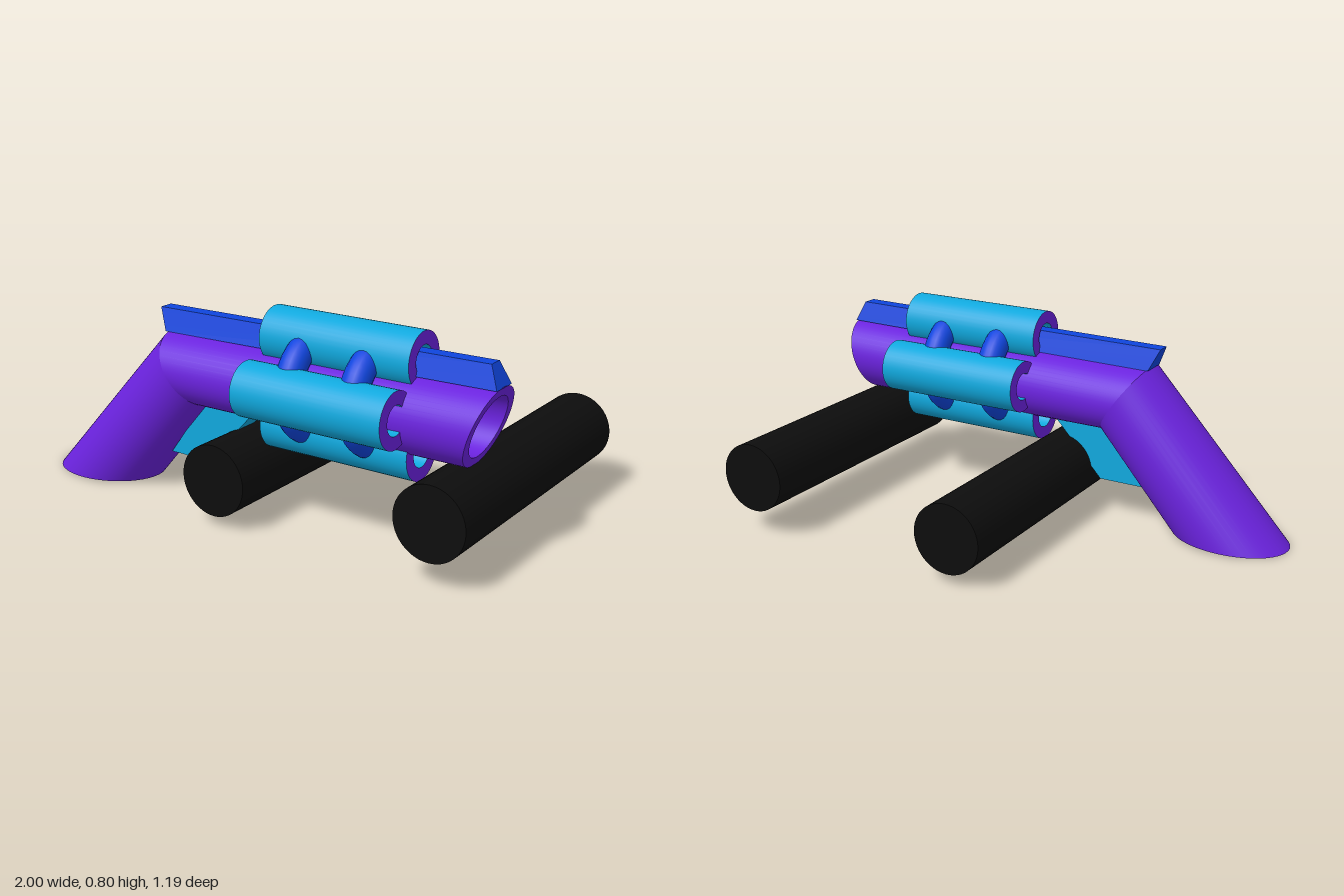
import * as THREE from 'three';

const AXIS_Z = 0.312;
const SEGMENTS = 48;

function material(name, color, side = THREE.FrontSide) {
  const m = new THREE.MeshStandardMaterial({ color, side });
  m.name = name;
  return m;
}

// Elliptical ring described by its upper and lower points in the xy plane and its half width in z
function ring(top, bottom, halfWidth) {
  const cx = (top[0] + bottom[0]) / 2, cy = (top[1] + bottom[1]) / 2;
  return (t) => [
    cx + (top[0] - cx) * Math.cos(t),
    cy + (top[1] - cy) * Math.cos(t),
    AXIS_Z + halfWidth * Math.sin(t),
  ];
}

// Smooth skin between two rings
function loft(a, b) {
  const positions = [], index = [];
  for (let i = 0; i < SEGMENTS; i++) {
    const t = (i / SEGMENTS) * Math.PI * 2;
    positions.push(...a(t), ...b(t));
    const p = i * 2, q = ((i + 1) % SEGMENTS) * 2;
    index.push(p, q, q + 1, p, q + 1, p + 1);
  }
  const g = new THREE.BufferGeometry();
  g.setAttribute('position', new THREE.Float32BufferAttribute(positions, 3));
  g.setIndex(index);
  g.computeVertexNormals();
  return g;
}

// Flat sided block: corners in the xy plane, half widths in z at its top and bottom
function block(c, topHalf, bottomHalf) {
  const g = new THREE.BoxGeometry(1, 1, 1);
  const p = g.attributes.position;
  for (let i = 0; i < p.count; i++) {
    const up = p.getY(i) > 0, front = p.getX(i) > 0;
    const [x, y] = up ? (front ? c.topFront : c.topBack) : (front ? c.bottomFront : c.bottomBack);
    p.setXYZ(i, x, y, AXIS_Z + Math.sign(p.getZ(i)) * (up ? topHalf : bottomHalf));
  }
  g.computeVertexNormals();
  return g;
}

export function createModel() {
  const purple = material('purple', 0x6a22dd);
  const teal = material('cyan', 0x10a8dd, THREE.DoubleSide);
  const blue = material('blue', 0x0f45dd);
  const black = material('black', 0x0d0d0d);

  const model = new THREE.Group();
  const add = (name, geometry, mat, parent = model) => {
    const mesh = new THREE.Mesh(geometry, mat);
    mesh.name = name;
    parent.add(mesh);
    return mesh;
  };

  // Grip and barrel
  const base = ring([-1, 0], [-0.525, 0.012], 0.175);
  const bend = ring([-0.405, 0.645], [-0.22, 0.37], 0.175);
  const muzzle = ring([0.985, 0.66], [0.885, 0.365], 0.147);
  const boreRim = ring([0.973, 0.625], [0.897, 0.4], 0.112);
  const boreEnd = ring([0.55, 0.608], [0.55, 0.402], 0.103);
  const point = (x, y) => ring([x, y], [x, y], 0);
  add('gripBase', loft(point(-0.7625, 0.006), base), purple);
  add('grip', loft(base, bend), purple);
  add('barrel', loft(bend, muzzle), purple);
  add('muzzleRim', loft(muzzle, boreRim), purple);
  add('bore', loft(boreRim, boreEnd), purple);
  add('boreFloor', loft(boreEnd, point(0.55, 0.505)), purple);

  // Sighting rail along the top
  add('topRail', block({
    topBack: [-0.45, 0.725], topFront: [0.95, 0.737],
    bottomBack: [-0.41, 0.64], bottomFront: [0.985, 0.657],
  }, 0.028, 0.053), blue);

  // Angled plate under the barrel
  add('triggerPlate', block({
    topBack: [-0.22, 0.4], topFront: [0.01, 0.4],
    bottomBack: [-0.4, 0.157], bottomFront: [-0.215, 0.157],
  }, 0.05, 0.05), teal);

  // Four hollow tubes around the barrel
  const x0 = 0.07, x1 = 0.685, outer = 0.103, inner = 0.054, midY = 0.534;
  for (let i = 0; i < 4; i++) {
    const a = (i * Math.PI) / 2;
    const tube = new THREE.Group();
    tube.name = 'outerTube' + (i + 1);
    tube.position.set((x0 + x1) / 2, midY + 0.165 * Math.cos(a), AXIS_Z + 0.177 * Math.sin(a));
    for (const [name, r] of [['tubeWall', outer], ['tubeBore', inner]]) {
      add(name, new THREE.CylinderGeometry(r, r, x1 - x0, 40, 1, true).rotateZ(Math.PI / 2), teal, tube);
    }
    for (const s of [-1, 1]) {
      const end = add('tubeEnd', new THREE.RingGeometry(inner, outer, 40), purple, tube);
      end.rotation.y = (s * Math.PI) / 2;
      end.position.x = (s * (x1 - x0)) / 2;
    }
    model.add(tube);
  }

  // Bands tying the tubes together
  for (const x of [0.24, 0.505]) {
    const band = add('band', new THREE.TorusGeometry(0.165, 0.052, 20, 48), blue);
    band.rotation.y = Math.PI / 2;
    band.position.set(x, midY, AXIS_Z);
  }

  // Crosswise rollers underneath
  for (const [name, x, y] of [['rearRoller', -0.037, 0.18], ['frontRoller', 0.86, 0.235]]) {
    const roller = add(name, new THREE.CylinderGeometry(0.137, 0.137, 1.157, 48), black);
    roller.rotation.x = Math.PI / 2;
    roller.position.set(x, y, -0.017);
  }

  return model;
}
